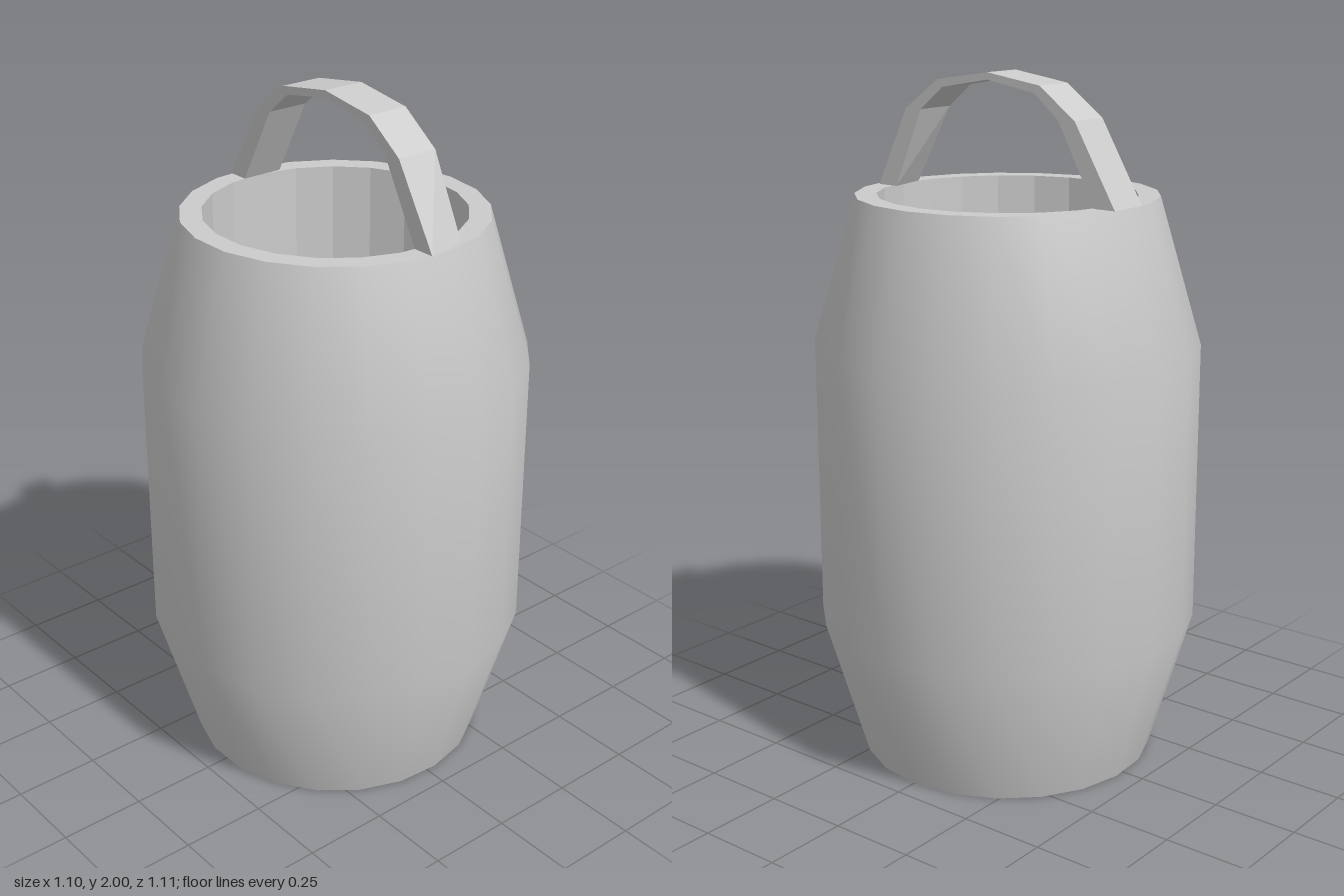
import * as THREE from 'three';

const SIDES = 21;

// Ring swept round y, with a corner on +x; profile runs outer-up, inner-down
function ring(name, points, flat) {
  const profile = points.map(([r, y]) => new THREE.Vector2(r, y));
  const geometry = new THREE.LatheGeometry(profile, SIDES, Math.PI / 2);
  return part(name, geometry, flat);
}

function part(name, geometry, flat) {
  const material = new THREE.MeshStandardMaterial({ color: 0xcccccc, flatShading: flat });
  const mesh = new THREE.Mesh(geometry, material);
  mesh.name = name;
  return mesh;
}

// Flat strap bent over the opening: four corners per station, joined in a loop
function handleGeometry() {
  const left = 0.09, right = -0.036;
  // [outer z, outer y, inner z, inner y] from the back foot to the top
  const half = [
    [-0.432, 1.66, -0.365, 1.66],
    [-0.298, 1.886, -0.242, 1.886],
    [-0.18, 1.973, -0.162, 1.952],
    [0, 2, 0, 1.98],
  ];
  const front = half.slice(0, 3).reverse().map(([zo, yo, zi, yi]) => [-zo, yo, -zi, yi]);
  const stations = [...half, ...front];
  const positions = [], index = [];
  stations.forEach(([zo, yo, zi, yi], i) => {
    // The front foot follows the facet of the rim on its left edge
    const skew = i === stations.length - 1 ? 0.026 : 0;
    positions.push(right, yo, zo, left, yo, zo - skew, left, yi, zi - skew, right, yi, zi);
  });
  for (let i = 0; i < stations.length - 1; i++) {
    for (let k = 0; k < 4; k++) {
      const a = i * 4 + k, b = i * 4 + (k + 1) % 4;
      index.push(a, a + 4, b, b, a + 4, b + 4);
    }
  }
  const geometry = new THREE.BufferGeometry();
  geometry.setAttribute('position', new THREE.Float32BufferAttribute(positions, 3));
  geometry.setIndex(index);
  geometry.computeVertexNormals();
  return geometry;
}

export function createModel() {
  const group = new THREE.Group();
  group.name = 'barrelWithHandle';

  const height = 1.66, rim = 0.432, bore = 0.37, belly = 0.555;

  // Bulging outer wall
  group.add(ring('outerWall', [[rim, 0], [belly, 0.42], [belly, 1.24], [rim, height]], false));
  // Straight faceted bore, open at both ends
  group.add(ring('innerWall', [[bore, height], [bore, 0]], true));
  // Flat rims
  group.add(ring('topRim', [[rim, height], [bore, height]], true));
  group.add(ring('bottomRim', [[bore, 0], [rim, 0]], true));
  // Carrying strap
  group.add(part('handle', handleGeometry(), true));

  return group;
}
